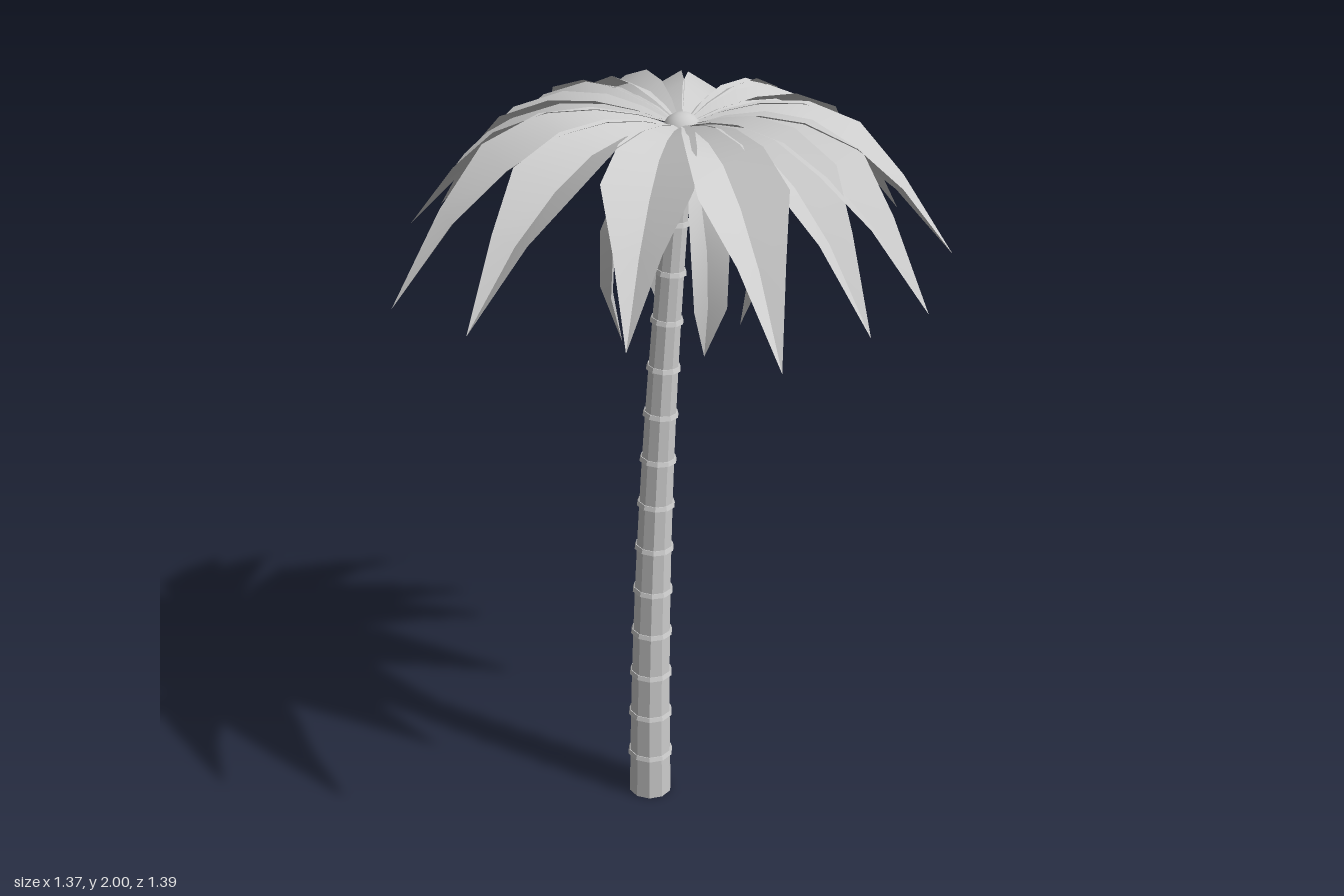
import * as THREE from 'three';

const CX = 0.01, CZ = -0.025; // crown axis

// centre line of the leaning trunk, t from 0 (ground) to 1 (crown)
const trunkX = (t) => -0.078 + 0.08 * t * t;
const trunkR = (t) => 0.06 - 0.027 * t;
const TRUNK_H = 1.82, TRUNK_Z = -0.022;

// Leaf folded along a valley: rows of [radius, height, half width], heading along an angle
function leafGeometry(rows, angle, fold) {
  const c = Math.cos(angle), s = Math.sin(angle);
  const pos = [], index = [];
  for (const side of [1, -1]) {
    const base = pos.length / 3;
    rows.forEach(([r, y, w], i) => {
      const a = rows[Math.max(i - 1, 0)], b = rows[Math.min(i + 1, rows.length - 1)];
      const len = Math.hypot(b[0] - a[0], b[1] - a[1]);
      const nr = -(b[1] - a[1]) / len, ny = (b[0] - a[0]) / len;
      const er = r + nr * w * fold, ey = y + ny * w * fold;
      pos.push(CX + c * r, y, CZ + s * r);
      pos.push(CX + c * er - s * w * side, ey, CZ + s * er + c * w * side);
      if (i === rows.length - 1) return;
      const k = base + i * 2;
      if (side > 0) index.push(k, k + 1, k + 3, k, k + 3, k + 2);
      else index.push(k, k + 3, k + 1, k, k + 2, k + 3);
    });
  }
  const g = new THREE.BufferGeometry();
  g.setAttribute('position', new THREE.Float32BufferAttribute(pos, 3));
  g.setIndex(index);
  g.computeVertexNormals();
  return g;
}

export function createModel() {
  const group = new THREE.Group();
  const grey = new THREE.MeshStandardMaterial({ color: 0xcccccc, side: THREE.DoubleSide });
  grey.name = 'light grey';

  const add = (geometry, name, parent = group) => {
    const mesh = new THREE.Mesh(geometry, grey);
    mesh.name = name;
    parent.add(mesh);
    return mesh;
  };

  // Trunk: ten-sided tapered column bent along its centre line
  const column = new THREE.CylinderGeometry(1, 1, TRUNK_H, 10, 14);
  const p = column.attributes.position;
  for (let i = 0; i < p.count; i++) {
    const t = p.getY(i) / TRUNK_H + 0.5;
    p.setXYZ(i, trunkX(t) + p.getX(i) * trunkR(t), t * TRUNK_H, TRUNK_Z + p.getZ(i) * trunkR(t));
  }
  const trunkGeometry = column.toNonIndexed();
  trunkGeometry.computeVertexNormals();
  add(trunkGeometry, 'trunk');

  // Bark rings: short flared collars following the lean
  const rings = new THREE.Group();
  rings.name = 'barkRings';
  group.add(rings);
  for (let i = 1; i <= 13; i++) {
    const t = (i * 0.131) / TRUNK_H, r = trunkR(t);
    const collar = new THREE.CylinderGeometry(r + 0.002, r + 0.006, 0.012, 10).toNonIndexed();
    collar.computeVertexNormals();
    const ring = add(collar, 'barkRing', rings);
    ring.position.set(trunkX(t), t * TRUNK_H, TRUNK_Z);
    ring.rotation.z = -0.088 * t;
  }

  // Crown heart, with a smaller bulb below and a bud on top
  const balls = [
    ['crownHeart', 0.068, CX, 1.895], ['lowerBulb', 0.052, 0, 1.84], ['topBud', 0.05, CX, 1.93],
  ];
  for (const [name, r, x, y] of balls) {
    add(new THREE.SphereGeometry(r, 20, 14), name).position.set(x, y, CZ);
  }

  // Spreading fronds: tip x, z and height
  const tips = [
    [-0.21, -0.7, 1.64], [-0.39, -0.66, 1.65], [-0.635, -0.335, 1.63], [-0.685, -0.12, 1.65],
    [-0.68, 0.255, 1.57], [-0.46, 0.555, 1.63], [-0.095, 0.64, 1.63], [0.25, 0.695, 1.61],
    [0.46, 0.42, 1.58], [0.6, 0.32, 1.6], [0.68, 0.025, 1.64], [0.565, -0.315, 1.64],
    [0.49, -0.47, 1.64], [0.22, -0.68, 1.63],
  ];
  // fraction of reach, fraction of drop below the top, half width
  const frondTop = 1.967;
  const frondProfile = [
    [0.04, 0.05, 0.008], [0.15, 0.01, 0.036], [0.28, 0, 0.066], [0.43, 0.05, 0.092],
    [0.6, 0.22, 0.108], [0.78, 0.5, 0.057], [1, 1, 0],
  ];
  const fronds = new THREE.Group();
  fronds.name = 'fronds';
  group.add(fronds);
  for (const [x, z, y] of tips) {
    const reach = Math.hypot(x - CX, z - CZ);
    const rows = frondProfile.map(([f, d, w]) => [f * reach, frondTop - d * (frondTop - y), w]);
    add(leafGeometry(rows, Math.atan2(z - CZ, x - CX), 0.45), 'frond', fronds);
  }

  // Four old leaves hanging around the trunk
  const hanging = new THREE.Group();
  hanging.name = 'hangingLeaves';
  group.add(hanging);
  const hangingRows = [
    [0.03, 1.88, 0.008], [0.09, 1.86, 0.02], [0.135, 1.79, 0.04],
    [0.175, 1.68, 0.05], [0.183, 1.54, 0.043], [0.16, 1.4, 0],
  ];
  for (let i = 0; i < 4; i++) {
    add(leafGeometry(hangingRows, -0.384 + i * Math.PI / 2, 0.45), 'hangingLeaf', hanging);
  }

  return group;
}
